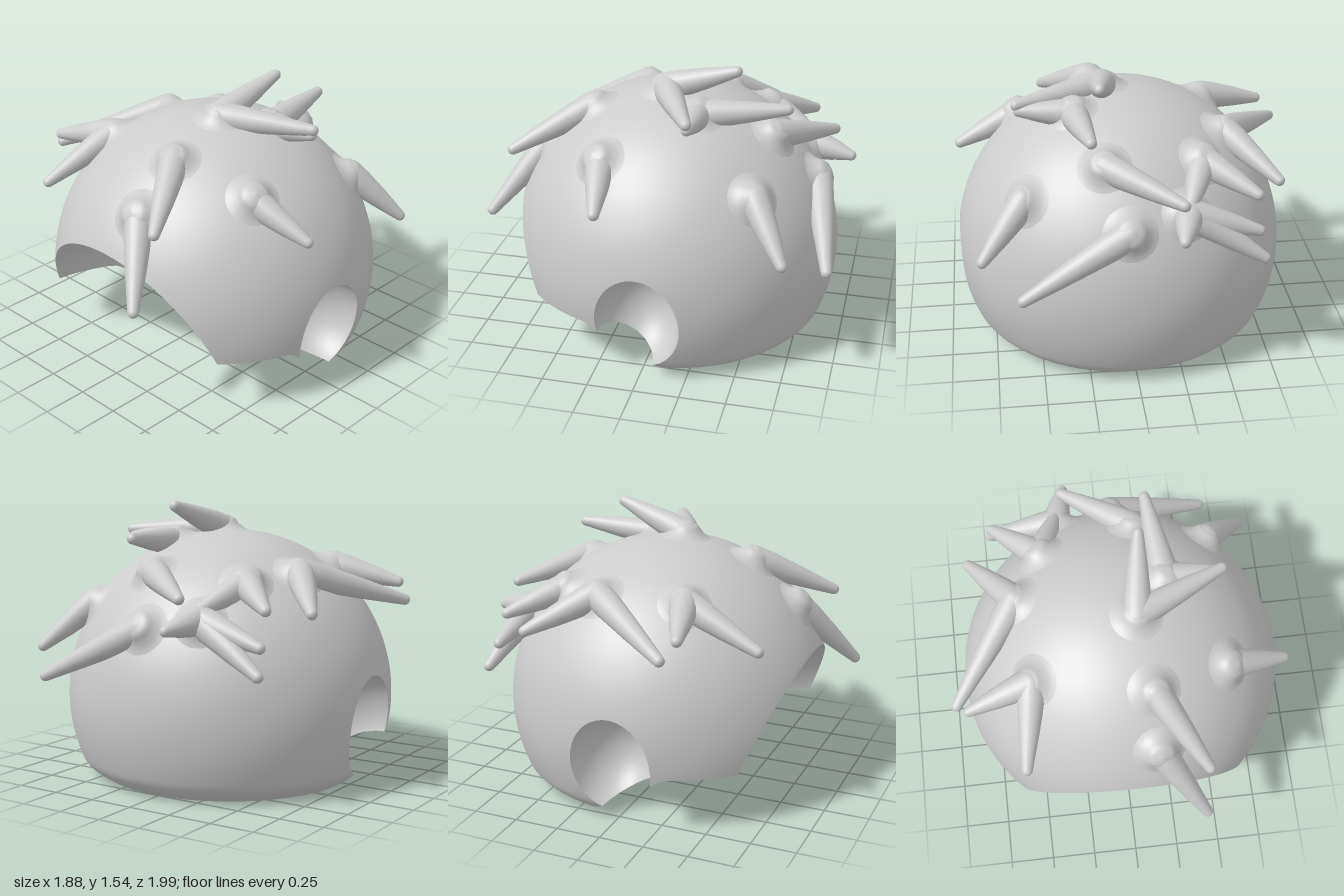
import * as THREE from 'three';

const material = new THREE.MeshStandardMaterial({ color: 0xcccccc });
const UP = new THREE.Vector3(0, 1, 0);
const V = (a) => new THREE.Vector3(...a);

// Dome: a sphere whose lower rim is rounded inward.
const R = 0.92, CY = 0.46, BASE = 0.005;
const CENTRE = [0.02, CY, -0.02];
const domeRadius = (y) =>
  Math.sqrt(Math.max(0, R * R - (y - CY) ** 2)) - 0.075 * Math.max(0, 1 - y / 0.11) ** 2;

// Underside height: flat at the back, a ramp, then flat under the temples.
const floorY = (z) => BASE + 0.31 * THREE.MathUtils.clamp((z + 0.18) / 0.49, 0, 1);

// Ellipsoid hollows
const face = { c: [0, 0.15, 0.77], r: [0.67, 0.67, 0.79] };
const ears = [1, -1].map((s) => ({ c: [0.86 * s, 0.35, 0.02], r: [0.29, 0.28, 0.23] }));
const hollows = [face, ...ears];

// Trimming rules: positive where the surface is kept.
const insideDome = (p) => domeRadius(p.y) - Math.hypot(p.x, p.z);
const aboveFloor = (p) => p.y - floorY(p.z);
const outside = ({ c, r }) => (p) =>
  Math.hypot((p.x - c[0]) / r[0], (p.y - c[1]) / r[1], (p.z - c[2]) / r[2]) - 1;

// Cuts every triangle along the zero line of each rule.
function trim(geometry, rules) {
  const g = geometry.index ? geometry.toNonIndexed() : geometry;
  const { position, normal } = g.attributes;
  const positions = [], normals = [];
  for (let i = 0; i < position.count; i += 3) {
    let poly = [0, 1, 2].map((k) => ({
      p: new THREE.Vector3().fromBufferAttribute(position, i + k),
      n: new THREE.Vector3().fromBufferAttribute(normal, i + k),
    }));
    for (const rule of rules) {
      const d = poly.map((v) => rule(v.p));
      const next = [];
      poly.forEach((a, k) => {
        const m = (k + 1) % poly.length, b = poly[m];
        if (d[k] >= 0) next.push(a);
        if ((d[k] >= 0) !== (d[m] >= 0)) {
          const t = d[k] / (d[k] - d[m]);
          next.push({ p: a.p.clone().lerp(b.p, t), n: a.n.clone().lerp(b.n, t).normalize() });
        }
      });
      poly = next;
      if (poly.length < 3) break;
    }
    for (let k = 1; k + 1 < poly.length; k++) {
      for (const v of [poly[0], poly[k], poly[k + 1]]) {
        positions.push(v.p.x, v.p.y, v.p.z);
        normals.push(v.n.x, v.n.y, v.n.z);
      }
    }
  }
  const out = new THREE.BufferGeometry();
  out.setAttribute('position', new THREE.Float32BufferAttribute(positions, 3));
  out.setAttribute('normal', new THREE.Float32BufferAttribute(normals, 3));
  return out;
}

function add(parent, name, geometry) {
  const mesh = new THREE.Mesh(geometry, material);
  mesh.name = name;
  parent.add(mesh);
  return mesh;
}

function domeGeometry() {
  const points = [], n = 90, start = Math.asin((BASE - CY) / R);
  for (let i = 0; i <= n; i++) {
    const y = CY + R * Math.sin(start + (Math.PI / 2 - start) * (i / n));
    points.push(new THREE.Vector2(i === n ? 0 : domeRadius(y), y));
  }
  return new THREE.LatheGeometry(points, 160);
}

// Ellipsoid turned inside out, so it is seen as a bowl
function hollowGeometry({ c, r }) {
  const g = new THREE.SphereGeometry(1, 96, 64);
  g.scale(-r[0], r[1], r[2]).translate(...c);
  const n = g.attributes.normal;
  for (let i = 0; i < n.count; i++) n.setXYZ(i, -n.getX(i), -n.getY(i), -n.getZ(i));
  return g;
}

function floorGeometry() {
  const g = new THREE.PlaneGeometry(2, 2, 80, 80).rotateX(Math.PI / 2);
  const p = g.attributes.position;
  for (let i = 0; i < p.count; i++) p.setY(i, floorY(p.getZ(i)));
  g.computeVertexNormals();
  return g;
}

// Tapered lock of hair with a round root and a blunt tip
function spikeGeometry(length) {
  const root = 0.08, tip = 0.03, points = [];
  for (let i = 0; i <= 8; i++) {
    const a = -Math.PI / 2 + (i / 8) * Math.PI * 0.5;
    points.push(new THREE.Vector2(root * Math.cos(a), root * Math.sin(a)));
  }
  points.push(new THREE.Vector2(0.075, length * 0.2), new THREE.Vector2(0.056, length * 0.55));
  for (let i = 0; i <= 6; i++) {
    const a = (i / 6) * Math.PI / 2;
    points.push(new THREE.Vector2(tip * Math.cos(a), length - tip + tip * Math.sin(a)));
  }
  return new THREE.LatheGeometry(points, 24);
}

// Flared swelling that blends a tuft into the dome
function moundGeometry() {
  const profile = new THREE.SplineCurve(
    [[0.155, -0.016], [0.12, 0.002], [0.09, 0.028], [0.06, 0.062], [0, 0.078]]
      .map(([x, y]) => new THREE.Vector2(x, y)));
  return new THREE.LatheGeometry(profile.getPoints(14), 32);
}

// Each tuft: a root on the dome and the tips growing from it
const tufts = [
  { root: [0.15, 1.26, 0.42], tips: [[0.42, 1.05, 0.84]] },
  { root: [0.15, 1.03, 0.68], tips: [[0.41, 0.65, 0.98]] },
  { root: [0.57, 1.12, 0.27], tips: [[0.93, 0.96, 0.21]] },
  { root: [0.57, 0.99, -0.55], tips: [[0.82, 0.72, -0.75]] },
  { root: [0.1, 1.38, 0.03], tips: [[0.61, 1.37, -0.2], [0.155, 1.53, -0.4]] },
  { root: [0.28, 1.31, -0.19], tips: [[0.6, 1.34, -0.19], [0.22, 1.36, -0.69]] },
  { root: [0.15, 1.18, -0.58], tips: [[-0.25, 1.08, -0.89]] },
  { root: [0.04, 0.91, -0.82], tips: [[0.63, 0.61, -0.95]] },
  { root: [-0.27, 0.97, -0.75], tips: [[-0.21, 0.93, -1.0], [-0.69, 0.71, -0.83], [-0.67, 0.85, -0.77]] },
  { root: [-0.38, 1.14, -0.48], tips: [[-0.66, 1.03, -0.73], [-0.26, 1.0, -0.8]] },
  { root: [-0.54, 1.18, -0.21], tips: [[-0.93, 1.0, 0.33], [-0.81, 1.0, -0.54]] },
  { root: [-0.49, 1.18, 0.27], tips: [[-0.87, 1.09, 0.38], [-0.57, 0.98, 0.73]] },
];

export function createModel() {
  const model = new THREE.Group();
  model.name = 'spikyHair';

  // Solid cap with its hollows
  const cap = new THREE.Group();
  cap.name = 'cap';
  cap.position.set(CENTRE[0], 0, CENTRE[2]);
  model.add(cap);
  const clearOfHollows = hollows.map(outside);
  add(cap, 'dome', trim(domeGeometry(), [aboveFloor, ...clearOfHollows]));
  add(cap, 'underside', trim(floorGeometry(), [insideDome, ...clearOfHollows]));
  add(cap, 'faceHollow', trim(hollowGeometry(face), [insideDome, aboveFloor]));
  ears.forEach((ear, i) =>
    add(cap, i ? 'rightEarHollow' : 'leftEarHollow', trim(hollowGeometry(ear), [insideDome, aboveFloor])));

  // Hair spikes
  tufts.forEach(({ root, tips }) => {
    const tuft = new THREE.Group();
    tuft.name = 'hairTuft';
    tuft.position.set(...root);
    model.add(tuft);
    for (const tip of tips) {
      const d = V(tip).sub(V(root));
      const spike = add(tuft, 'hairSpike', spikeGeometry(d.length()));
      spike.quaternion.setFromUnitVectors(UP, d.normalize());
    }
    const out = V(root).sub(V(CENTRE));
    const mound = add(tuft, 'tuftBase', moundGeometry());
    mound.position.copy(out).multiplyScalar(R / out.length() - 1);
    mound.quaternion.setFromUnitVectors(UP, out.normalize());
  });
  return model;
}
